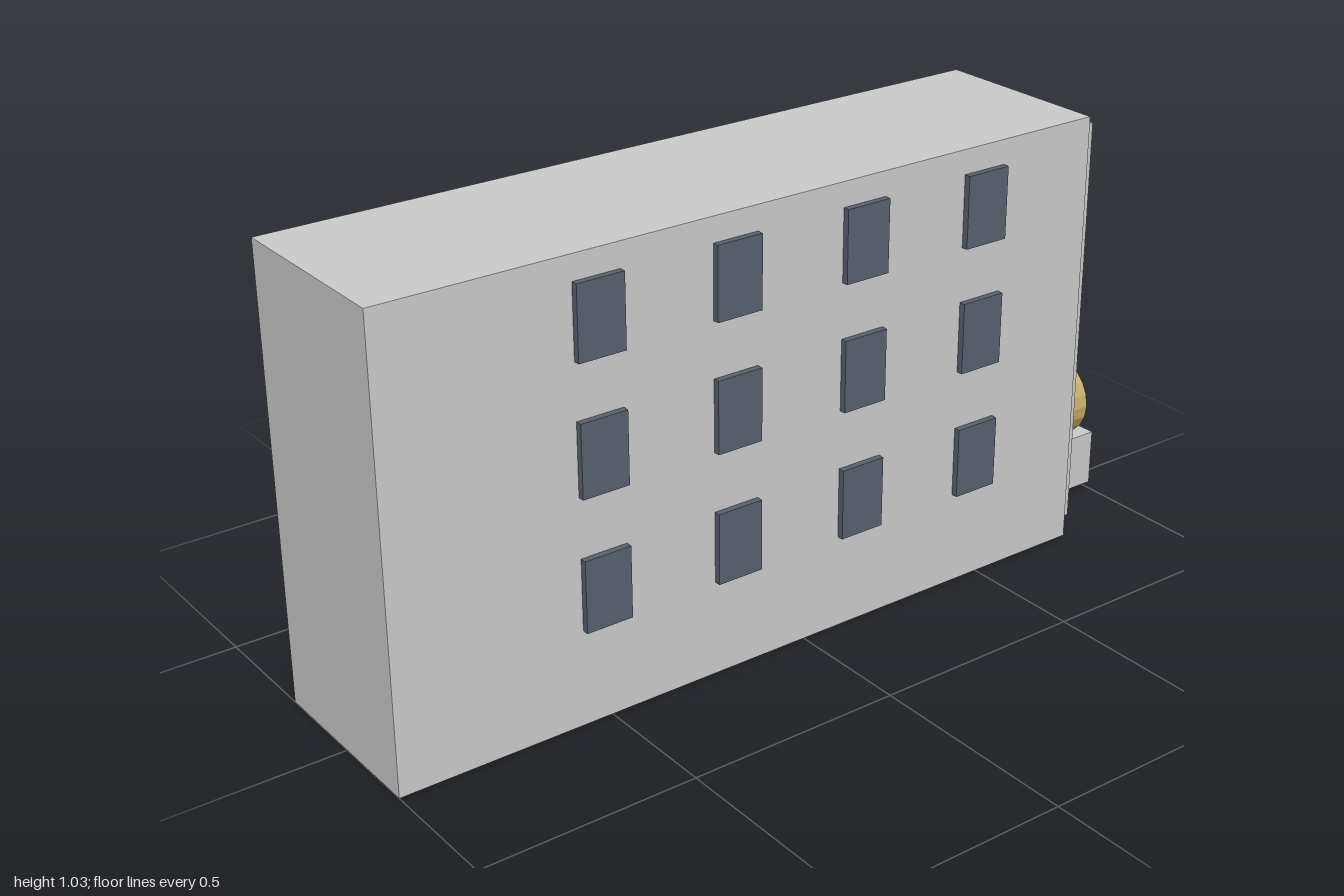
import * as THREE from 'three';

const grey = new THREE.MeshStandardMaterial({ color: 0xcccccc, flatShading: true });
const dark = new THREE.MeshStandardMaterial({ color: 0x5a6070, flatShading: true });
const brass = new THREE.MeshStandardMaterial({ color: 0xc8b068, flatShading: true });

// Box given by its limits on each axis
function box(name, material, [x0, x1], [y0, y1], [z0, z1]) {
  const mesh = new THREE.Mesh(new THREE.BoxGeometry(x1 - x0, y1 - y0, z1 - z0), material);
  mesh.position.set((x0 + x1) / 2, (y0 + y1) / 2, (z0 + z1) / 2);
  mesh.name = name;
  return mesh;
}

// Cylinder lying along z
function disc(name, material, radius, x, y, [z0, z1]) {
  const geometry = new THREE.CylinderGeometry(radius, radius, z1 - z0, 20).rotateX(Math.PI / 2);
  const mesh = new THREE.Mesh(geometry, material);
  mesh.position.set(x, y, (z0 + z1) / 2);
  mesh.name = name;
  return mesh;
}

export function createModel() {
  const model = new THREE.Group();
  model.name = 'cabinet';

  // Main body with the raised panel and plate on its back
  model.add(
    box('body', grey, [-0.225, 0.21], [0, 1.03], [-0.78, 1]),
    box('backPanel', grey, [-0.2, 0.18], [0.03, 1.0], [-0.82, -0.78]),
    box('backPlate', dark, [-0.175, 0.155], [0.785, 0.945], [-0.835, -0.82])
  );

  // Three rows of four raised tiles on the left side
  const tiles = new THREE.Group();
  tiles.name = 'sideTiles';
  for (const y of [0.302, 0.602, 0.892]) {
    for (let i = 0; i < 4; i++) {
      const z = 0.51 - i * 0.328;
      tiles.add(box('tile', dark, [0.21, 0.225], [y - 0.082, y + 0.082], [z - 0.055, z + 0.055]));
    }
  }
  model.add(tiles);

  // Brass knob with its dark centre, resting on a small block
  model.add(
    disc('knob', brass, 0.095, -0.01, 0.237, [-0.96, -0.835]),
    disc('knobCentre', dark, 0.04, -0.01, 0.237, [-0.972, -0.95]),
    box('knobBlock', grey, [-0.09, 0.07], [0.017, 0.152], [-1, -0.835])
  );
  return model;
}
